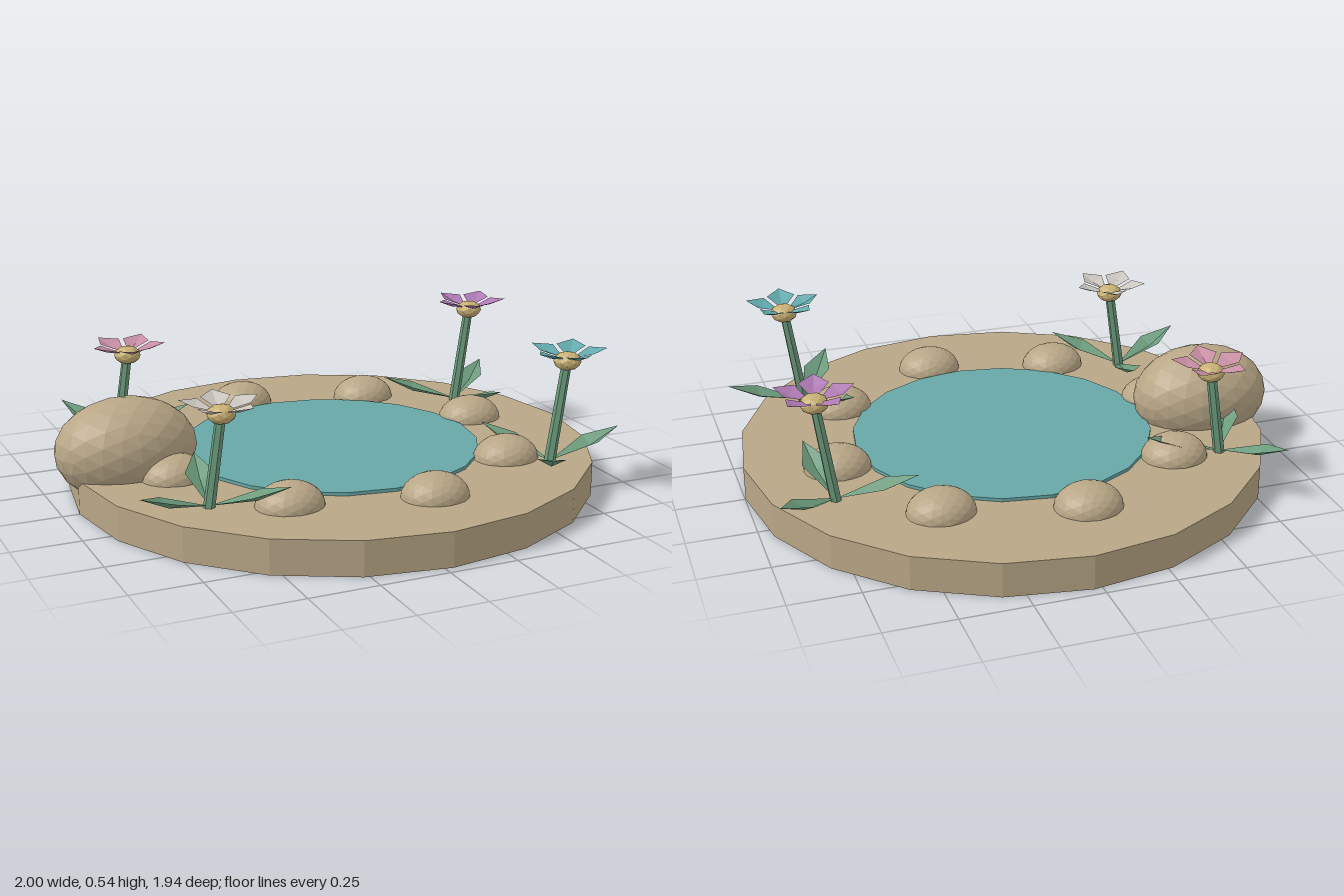
import * as THREE from 'three';

const material = (name, color, extra = {}) => {
  const m = new THREE.MeshStandardMaterial({ color, flatShading: true, ...extra });
  m.name = name;
  return m;
};
const open = { side: THREE.DoubleSide };
const sand = material('sandstone', 0xb8a686);
const water = material('water', 0x66a7a6);
const green = material('leaf green', 0x6b9a7c, open);
const yellow = material('pollen yellow', 0xc8b074);
const teal = material('teal petals', 0x62a9ac, open);
const pink = material('pink petals', 0xc78ea3, open);
const purple = material('purple petals', 0xae79b3, open);
const white = material('white petals', 0xcac5bf, open);

function add(parent, name, geometry, mat, x = 0, y = 0, z = 0) {
  const mesh = new THREE.Mesh(geometry, mat);
  mesh.name = name;
  mesh.position.set(x, y, z);
  parent.add(mesh);
  return mesh;
}

// Folded diamond blade along +x: start, widest point, tip, with a sunken midrib
function blade({ start, wide, tip, half, yStart, yRib, yEdge, yTip }) {
  const B = [start, yStart, 0], T = [tip, yTip, 0], M = [wide, yRib, 0];
  const L = [wide, yEdge, -half], R = [wide, yEdge, half];
  const g = new THREE.BufferGeometry();
  const corners = [B, R, M, B, M, L, R, T, M, M, T, L].flat();
  g.setAttribute('position', new THREE.Float32BufferAttribute(corners, 3));
  g.computeVertexNormals();
  return g;
}

const leafShape = blade({ start: 0, wide: 0.17, tip: 0.29, half: 0.052,
  yStart: 0.005, yRib: 0.04, yEdge: 0.066, yTip: 0.1 });
const petalShape = blade({ start: 0.015, wide: 0.085, tip: 0.142, half: 0.052,
  yStart: 0, yRib: 0.014, yEdge: 0.03, yTip: 0.038 });
const rockShape = new THREE.IcosahedronGeometry(1, 3);
const GROUND = 0.125;

// One flower: leaning stem, three leaves, five petals and a round centre
function flower(name, petals, x, z, height, turn) {
  const group = new THREE.Group();
  group.name = name;
  group.position.set(x, GROUND, z);
  const lean = height * 0.15;

  const stem = new THREE.CylinderGeometry(0.018, 0.021, height, 6);
  const p = stem.attributes.position;
  for (let i = 0; i < p.count; i++) {
    const y = p.getY(i) + height / 2;
    p.setXYZ(i, p.getX(i) + 0.15 * y, y, p.getZ(i));
  }
  stem.computeVertexNormals();
  add(group, 'stem', stem, green);

  for (let i = 0; i < 3; i++) {
    add(group, 'leaf', leafShape, green).rotation.y = -(turn + i * 120) * Math.PI / 180;
  }
  const head = new THREE.Group();
  head.name = 'blossom';
  head.position.set(lean, height, 0);
  group.add(head);
  for (let i = 0; i < 5; i++) {
    add(head, 'petal', petalShape, petals).rotation.y = -(turn + 22 + i * 72) * Math.PI / 180;
  }
  add(head, 'flowerCentre', new THREE.IcosahedronGeometry(1, 1), yellow, 0, -0.008, 0)
    .scale.set(0.05, 0.034, 0.05);
  return group;
}

export function createModel() {
  const model = new THREE.Group();
  model.name = 'gardenPond';

  // Ground disc and pool
  const cx = 0.03;
  add(model, 'groundDisc', new THREE.CylinderGeometry(0.968, 0.968, GROUND, 20), sand,
    cx, GROUND / 2, 0);
  add(model, 'pool', new THREE.CylinderGeometry(0.555, 0.555, 0.02, 20), water, cx, 0.127, 0);

  // Ring of eight stones
  for (let i = 0; i < 8; i++) {
    const a = (8.7 + i * 45) * Math.PI / 180;
    add(model, 'stone', rockShape, sand,
      cx + 0.655 * Math.sin(a), GROUND, 0.655 * Math.cos(a)).scale.set(0.122, 0.085, 0.108);
  }

  // Boulder
  add(model, 'boulder', rockShape, sand, -0.74, 0.2, -0.065).scale.set(0.26, 0.186, 0.19);

  // Flowers
  model.add(
    flower('tealFlower', teal, 0.675, 0.5, 0.38, 0),
    flower('purpleFlower', purple, 0.738, -0.334, 0.38, 80),
    flower('whiteFlower', white, -0.612, 0.436, 0.328, 40),
    flower('pinkFlower', pink, -0.666, -0.408, 0.328, 0),
  );
  return model;
}
